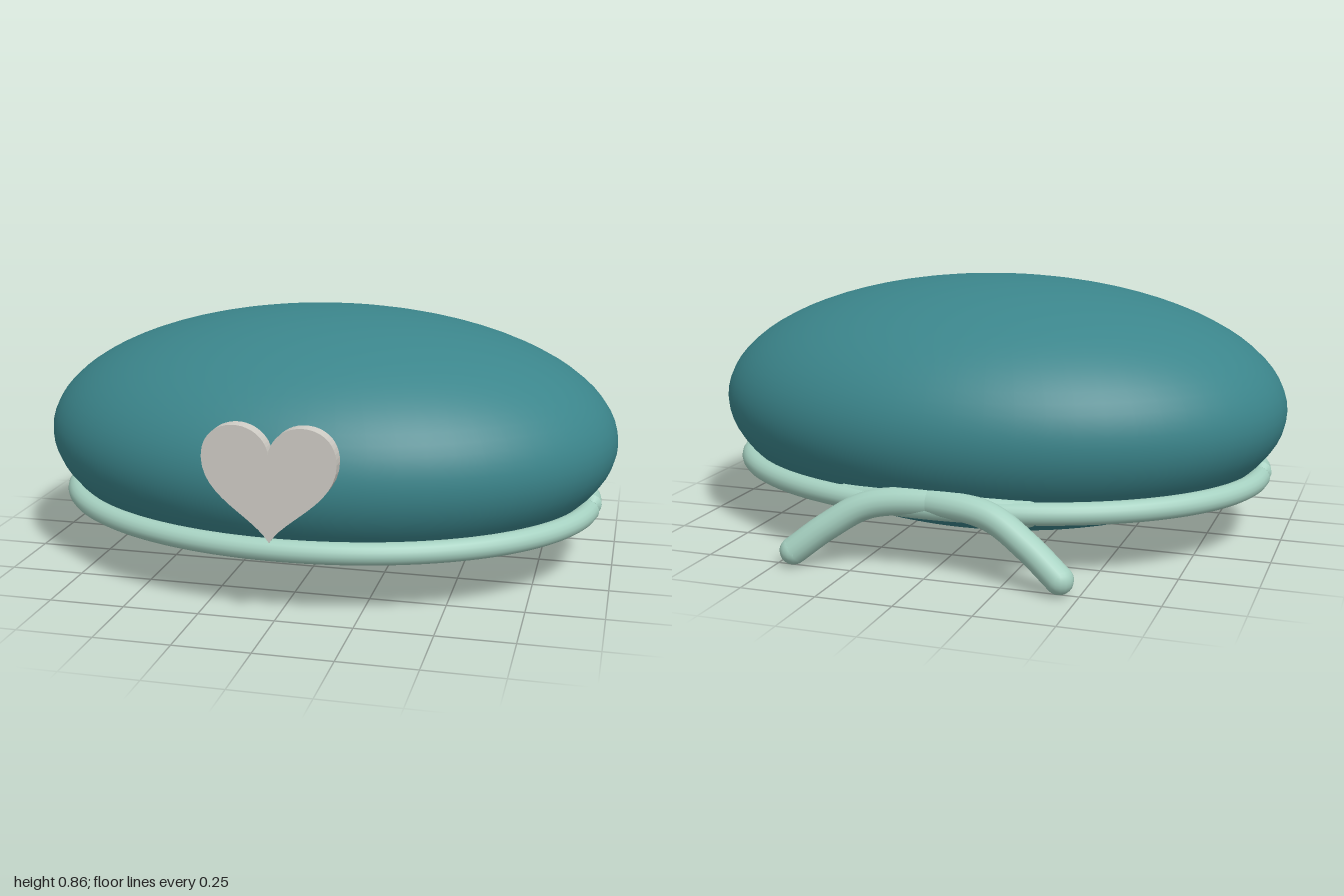
import * as THREE from 'three';

export function createModel() {
  const model = new THREE.Group();
  const paint = (name, color) => {
    const m = new THREE.MeshStandardMaterial({ color });
    m.name = name;
    return m;
  };
  const teal = paint('deep teal', 0x3b858b);
  const mint = paint('pale mint', 0xa6d1c1);
  const grey = paint('warm grey', 0xd0cdc6);

  const add = (name, geometry, material, parent = model) => {
    const mesh = new THREE.Mesh(geometry, material);
    mesh.name = name;
    parent.add(mesh);
    return mesh;
  };

  // Smooth cushion-like body
  const body = add('body', new THREE.SphereGeometry(1, 64, 40), teal);
  body.scale.set(1, 0.43, 0.76);
  body.position.y = 0.435;

  // Band: front and back arcs that taper to meet at the sides
  const r = 0.036;
  const ringPoint = t => new THREE.Vector3(0.92 * Math.cos(t), 0.218, 0.695 * Math.sin(t));
  const addArc = (name, from, to) => {
    const group = new THREE.Group();
    group.name = name;
    model.add(group);
    const points = [];
    for (let i = 0; i <= 32; i++) points.push(ringPoint(from + (to - from) * i / 32));
    add('bandTube', new THREE.TubeGeometry(new THREE.CatmullRomCurve3(points), 96, r, 16), mint, group);
    for (const [t, other] of [[from, to], [to, from]]) {
      const dir = ringPoint(t).sub(ringPoint(t + Math.sign(other - t) * 0.02)).normalize();
      const tip = add('bandTip', new THREE.CylinderGeometry(0.006, r, 0.034, 16), mint, group);
      tip.quaternion.setFromUnitVectors(new THREE.Vector3(0, 1, 0), dir);
      tip.position.copy(ringPoint(t)).addScaledVector(dir, 0.017);
    }
  };
  addArc('frontBand', 0.1, Math.PI - 0.1);
  addArc('backBand', 0, -Math.PI);

  // Two tie ends crossing at the back and hanging outwards
  for (const s of [1, -1]) {
    const tie = new THREE.Group();
    tie.name = s > 0 ? 'leftTie' : 'rightTie';
    model.add(tie);
    const points = [[-0.3, 0.215, -0.64], [0, 0.238, -0.69], [0.2, 0.215, -0.71], [0.33, 0.14, -0.735], [0.44, 0.055, -0.76]]
      .map(([x, y, z]) => new THREE.Vector3(s * x, y, z));
    add('tieCord', new THREE.TubeGeometry(new THREE.CatmullRomCurve3(points), 48, 0.045, 16), mint, tie);
    for (const p of [points[0], points[4]]) {
      add('tieEnd', new THREE.SphereGeometry(0.045, 16, 12), mint, tie).position.copy(p);
    }
  }

  // Heart badge on the front
  const heart = new THREE.Shape();
  heart.moveTo(0, 0.277);
  heart.bezierCurveTo(0.05, 0.36, 0.21, 0.41, 0.21, 0.535);
  heart.bezierCurveTo(0.21, 0.605, 0.16, 0.64, 0.105, 0.64);
  heart.bezierCurveTo(0.05, 0.64, 0.005, 0.6, 0, 0.553);
  heart.bezierCurveTo(-0.005, 0.6, -0.05, 0.64, -0.105, 0.64);
  heart.bezierCurveTo(-0.16, 0.64, -0.21, 0.605, -0.21, 0.535);
  heart.bezierCurveTo(-0.21, 0.41, -0.05, 0.36, 0, 0.277);
  add('heartBadge', new THREE.ExtrudeGeometry(heart, { depth: 0.045, bevelEnabled: false, curveSegments: 12 }), grey)
    .position.z = 0.755;

  return model;
}
